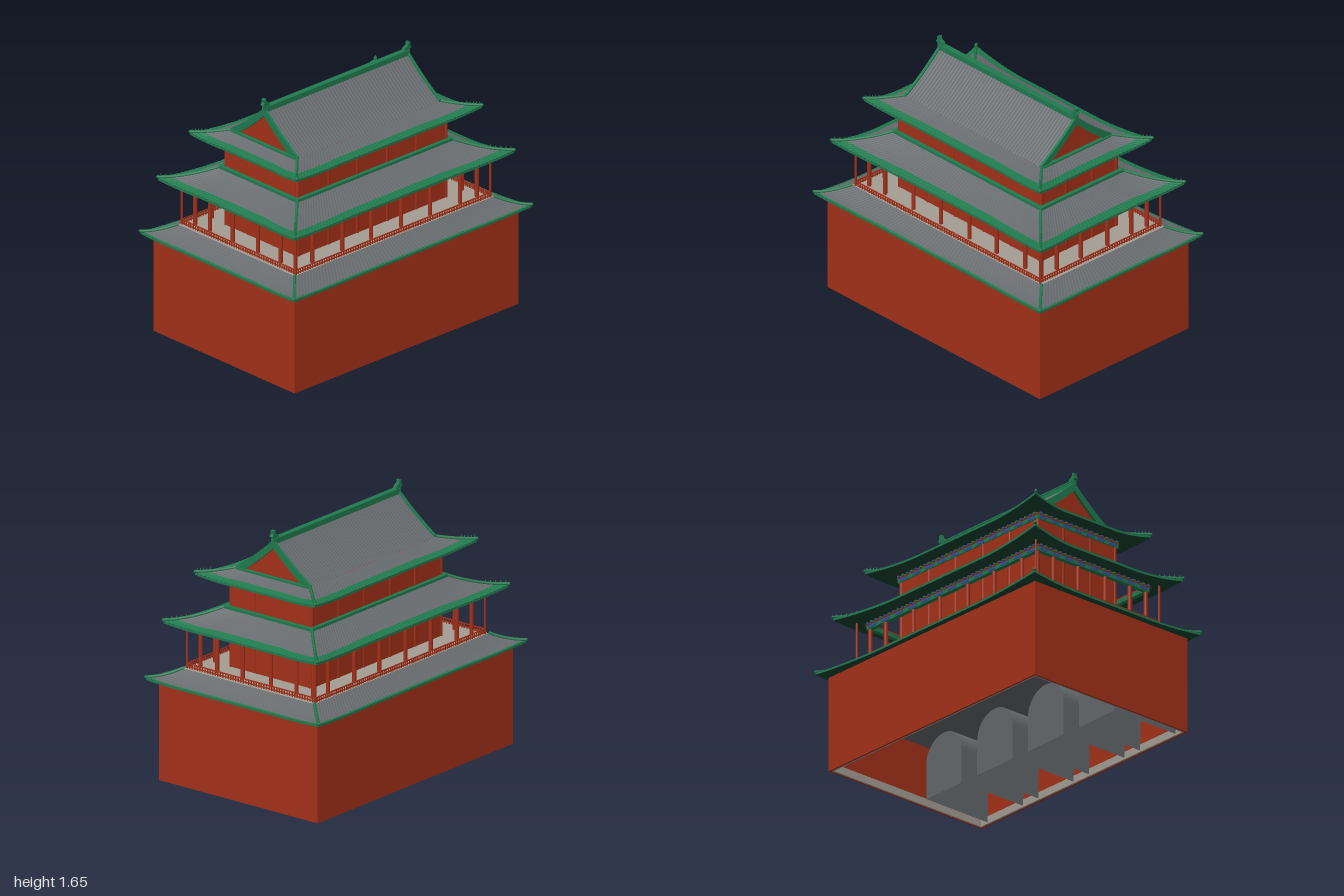
import * as THREE from 'three';

const mat = (name, color, side = THREE.FrontSide) => {
  const m = new THREE.MeshStandardMaterial({ color, side });
  m.name = name;
  return m;
};
const red = mat('red paint', 0xa33019);
const green = mat('glazed green', 0x1f7a4e);
const darkGreen = mat('dark green soffit', 0x15402f);
const grey = mat('grey tile', 0x676b6d);
const stone = mat('pale stone', 0xa49d93);
const blue = mat('blue paint', 0x34509c);
const masonry = mat('grey masonry', 0x63676a, THREE.DoubleSide);

const lerp = THREE.MathUtils.lerp;
const V = (x, y, z) => new THREE.Vector3(x, y, z);

function add(parent, name, geo, material, x = 0, y = 0, z = 0) {
  const m = new THREE.Mesh(geo, material);
  m.name = name;
  m.position.set(x, y, z);
  parent.add(m);
  return m;
}
// Box given by centre x, z and its bottom and top heights
const box = (p, name, material, w, d, y0, y1, x = 0, z = 0) =>
  add(p, name, new THREE.BoxGeometry(w, y1 - y0, d), material, x, (y0 + y1) / 2, z);

// Faceted surface from a rule fn(s, v, i), s in -1..1, v in v0..v1
function surface(p, name, material, fn, nu, nv, v0 = 0, v1 = 1, flip = false) {
  const pos = [], idx = [];
  for (let j = 0; j <= nv; j++)
    for (let i = 0; i <= nu; i++) pos.push(...fn(-1 + (2 * i) / nu, lerp(v0, v1, j / nv), i));
  for (let j = 0; j < nv; j++)
    for (let i = 0; i < nu; i++) {
      const a = j * (nu + 1) + i, b = a + 1, c = a + nu + 1, d = c + 1;
      if (flip) idx.push(a, c, b, b, c, d);
      else idx.push(a, b, c, b, d, c);
    }
  const g = new THREE.BufferGeometry();
  g.setAttribute('position', new THREE.Float32BufferAttribute(pos, 3));
  g.setIndex(idx);
  const flat = g.toNonIndexed();
  flat.computeVertexNormals();
  return add(p, name, flat, material);
}

// Four-sided skirt roof: eave (ex, ez, ey), corner tip (cx, cz, cy), top rectangle (tx, tz, ty),
// soffit meeting the building at (bx, bz, by)
function skirtRoof(p, name, r) {
  const g = new THREE.Group();
  g.name = name;
  p.add(g);
  for (let k = 0; k < 4; k++) {
    const long = k % 2 === 0;
    const side = new THREE.Group();
    side.name = long ? 'longSide' : 'shortSide';
    side.rotation.y = (k * Math.PI) / 2;
    g.add(side);
    const [cl, e, c, tl, t, bl, b] = long
      ? [r.cx, r.ez, r.cz, r.tx, r.tz, r.bx, r.bz]
      : [r.cz, r.ex, r.cx, r.tz, r.tx, r.bz, r.bx];
    const flare = (s) => Math.max(0, (Math.abs(s) - 0.45) / 0.55);
    const eave = (s) => {
      const f = flare(s);
      return [s * cl, lerp(r.ey, r.cy, f ** 2.2), lerp(e, c, f ** 1.3)];
    };
    const n = 2 * Math.round(cl / 0.014);
    // The slope sags more towards the corners
    const top = (s, v, i) => {
      const E = eave(s), y = lerp(E[1], r.ty, v ** lerp(1.2, 1.9, flare(s)));
      return [lerp(E[0], s * tl, v), y + (i % 2 ? 0.002 : 0), lerp(E[2], t, v)];
    };
    surface(side, 'eaveTiles', green, top, n, 2, 0, r.band);
    surface(side, 'roofTiles', grey, top, n, 5, r.band, 1);
    surface(side, 'eaveEdge', green, (s, v) => {
      const E = eave(s);
      return [E[0], E[1] - r.th * (1 - v), E[2]];
    }, 40, 1);
    surface(side, 'soffit', darkGreen, (s, v) => {
      const E = eave(s);
      return [lerp(E[0], s * bl, v), lerp(E[1] - r.th, r.by, v), lerp(E[2], b, v)];
    }, 40, 2, 0, 1, true);
    // Ridge along the hip, with small figures near its tip
    const hip = (v) => V(...top(1, v, 0));
    const pts = [0, 0.2, 0.4, 0.6, 0.8, 1].map((v) => hip(v).add(V(0, 0.006, 0)));
    add(side, 'hipRidge', new THREE.TubeGeometry(new THREE.CatmullRomCurve3(pts), 12, 0.01, 6), green);
    add(side, 'hipTip', new THREE.SphereGeometry(0.011, 6, 5), green, ...pts[0].toArray());
    for (let i = 0; i < 5 && r.figures; i++) {
      const q = hip(0.05 + i * 0.08);
      add(side, 'hipFigure', new THREE.ConeGeometry(0.006, 0.02, 5), green, q.x, q.y + 0.022, q.z);
    }
  }
}

// Painted beam ring with alternating panels, a red line and bracket blocks above it
function beamRing(p, name, hx, hz, y0, y1) {
  const g = new THREE.Group();
  g.name = name;
  p.add(g);
  for (let k = 0; k < 4; k++) {
    const side = new THREE.Group();
    side.name = 'beamSide';
    side.rotation.y = (k * Math.PI) / 2;
    g.add(side);
    const [l, d] = k % 2 ? [hz, hx] : [hx, hz];
    box(side, 'beam', green, 2 * l, 0.03, y0, y1, 0, d - 0.015);
    box(side, 'redLine', red, 2 * l, 0.03, y1, y1 + 0.012, 0, d - 0.01);
    const n = 2 * Math.round(l / 0.13) + 1, w = (2 * l) / n;
    for (let i = 0; i < n; i++)
      box(side, 'paintedPanel', blue, w * 0.6, 0.004, y0 + 0.006, y1 - 0.004, -l + w * (i + 0.5), d + 0.002);
    const m = Math.round((2 * l) / 0.04);
    for (let i = 0; i < m; i++)
      box(side, 'bracket', i % 2 ? green : blue, 0.016, 0.03, y1 + 0.002, y1 + 0.014, -l + (2 * l * (i + 0.5)) / m, d);
  }
}

function column(p, name, r, x, z, y0, y1) {
  add(p, name, new THREE.CylinderGeometry(r, r, y1 - y0, 10), red, x, (y0 + y1) / 2, z);
}

// Hollow base, open at the bottom, with four vaults running in from the front
function buildBase(root) {
  const g = new THREE.Group();
  g.name = 'base';
  root.add(g);
  for (const s of [-1, 1]) {
    box(g, 'baseLongWall', red, 1.866, 0.012, 0, 0.63, 0, s * 0.614);
    box(g, 'baseEndWall', red, 0.012, 1.22, 0, 0.63, s * 0.927, 0);
    box(g, 'footing', stone, 1.842, 0.012, 0.001, 0.05, 0, s * 0.602);
    box(g, 'footing', stone, 0.012, 1.2, 0.001, 0.05, s * 0.915, 0);
  }
  box(g, 'baseCeiling', masonry, 1.842, 1.216, 0.4, 0.42);
  const arch = new THREE.Shape();
  arch.moveTo(-0.16, 0.01).lineTo(-0.16, 0.24);
  arch.absarc(0, 0.24, 0.16, Math.PI, 0, true);
  arch.lineTo(0.16, 0.01);
  const line = arch.getPoints(10);
  for (const x of [-0.69, -0.23, 0.23, 0.69]) {
    surface(g, 'vault', masonry, (s, v, i) => [x + line[i].x, line[i].y, lerp(0.1, 0.6, v)], line.length - 1, 1);
    add(g, 'vaultEnd', new THREE.ShapeGeometry(arch, 10), masonry, x, 0, 0.1);
  }
}

function buildGallery(root) {
  const g = new THREE.Group();
  g.name = 'gallery';
  root.add(g);
  box(g, 'deck', stone, 1.66, 1.02, 0.6, 0.712);
  box(g, 'hallWalls', red, 1.25, 0.64, 0.712, 1.27);
  const xs = [-0.615, -0.365, -0.125, 0.125, 0.365, 0.615], zs = [-0.31, -0.11, 0.11, 0.31];
  for (const s of [-1, 1]) {
    for (const x of xs) {
      column(g, 'wallColumn', 0.014, x, s * 0.312, 0.712, 1.26);
      column(g, 'galleryColumn', 0.013, x, s * 0.44, 0.712, 0.94);
    }
    for (const z of zs) {
      column(g, 'wallColumn', 0.014, s * 0.616, z, 0.712, 1.26);
      column(g, 'galleryColumn', 0.013, s * 0.755, z, 0.712, 0.94);
    }
    for (const t of [-1, 1]) {
      column(g, 'cornerColumn', 0.013, s * 0.755, t * 0.44, 0.712, 0.94);
      column(g, 'cornerPost', 0.007, s * 0.81, t * 0.5, 0.712, 0.98);
    }
    // Railings
    for (const y of [0.722, 0.742]) {
      box(g, 'rail', red, 1.62, 0.007, y - 0.003, y + 0.003, 0, s * 0.5);
      box(g, 'rail', red, 0.007, 1.0, y - 0.003, y + 0.003, s * 0.81, 0);
    }
    for (let i = 0; i <= 81; i++) box(g, 'baluster', red, 0.006, 0.006, 0.712, 0.745, -0.81 + i * 0.02, s * 0.5);
    for (let i = 1; i < 50; i++) box(g, 'baluster', red, 0.006, 0.006, 0.712, 0.745, s * 0.81, -0.5 + i * 0.02);
  }
}

// Upper gabled part of the top roof
function buildGableRoof(root) {
  const g = new THREE.Group();
  g.name = 'gableRoof';
  root.add(g);
  const prof = (v) => [0.29 * (1 - v), 1.343 + 0.23 * (0.8 * v + 0.2 * v * v)];
  for (const s of [-1, 1]) {
    surface(g, 'mainSlope', grey, (u, v, i) => {
      const [z, y] = prof(v);
      return [s * u * 0.6, y + (i % 2 ? 0.003 : 0), s * z];
    }, 100, 6);
    // Red gable with green bargeboards and foot ridge
    const tri = new THREE.Shape();
    tri.moveTo(-0.285, 1.335).lineTo(0.285, 1.335);
    for (let i = 0; i <= 6; i++) { const [z, y] = prof(i / 6); tri.lineTo(z, y - 0.004); }
    for (let i = 5; i >= 0; i--) { const [z, y] = prof(i / 6); tri.lineTo(-z, y - 0.004); }
    const gable = add(g, 'gable', new THREE.ExtrudeGeometry(tri, { depth: 0.01, bevelEnabled: false }), red, s * 0.575);
    gable.rotation.y = (s * Math.PI) / 2;
    box(g, 'gableFootRidge', green, 0.024, 0.56, 1.33, 1.35, s * 0.6, 0);
    for (const t of [-1, 1]) {
      const barge = new THREE.Shape();
      for (let i = 0; i <= 6; i++) {
        const [z, y] = prof(i / 6);
        if (i) barge.lineTo(z, y + 0.014); else barge.moveTo(z, y + 0.014);
      }
      for (let i = 6; i >= 0; i--) { const [z, y] = prof(i / 6); barge.lineTo(z, Math.max(1.33, y - 0.04)); }
      const b = add(g, 'bargeboard', new THREE.ExtrudeGeometry(barge, { depth: 0.018, bevelEnabled: false }), green, s * 0.593 + t * 0.009);
      b.rotation.y = (-t * Math.PI) / 2;
    }
    // Curled ridge-end ornament
    const f = new THREE.Shape();
    f.moveTo(-0.03, 1.56).lineTo(0.016, 1.56).lineTo(0.016, 1.6).lineTo(0.03, 1.61).lineTo(0.018, 1.625).lineTo(0.02, 1.645);
    f.lineTo(0.004, 1.65).lineTo(-0.002, 1.625).lineTo(-0.024, 1.615).lineTo(-0.036, 1.59);
    const fin = add(g, 'ridgeEnd', new THREE.ExtrudeGeometry(f, { depth: 0.024, bevelEnabled: false }), green, s * 0.59, 0, s * -0.012);
    fin.rotation.y = s > 0 ? 0 : Math.PI;
  }
  box(g, 'mainRidge', green, 1.19, 0.03, 1.56, 1.592);
  box(g, 'mainRidgeCap', green, 1.19, 0.038, 1.588, 1.597);
}

export function createModel() {
  const root = new THREE.Group();
  root.name = 'gateTower';
  buildBase(root);
  buildGallery(root);
  skirtRoof(root, 'lowerRoof', { ex: 0.97, ez: 0.65, ey: 0.64, cx: 0.99, cz: 0.675, cy: 0.658, tx: 0.83, tz: 0.51, ty: 0.71,
    th: 0.013, band: 0.1, bx: 0.93, bz: 0.62, by: 0.622, figures: false });
  beamRing(root, 'galleryBeam', 0.775, 0.455, 0.937, 0.964);
  skirtRoof(root, 'middleRoof', { ex: 0.875, ez: 0.56, ey: 0.993, cx: 0.915, cz: 0.6, cy: 1.02, tx: 0.64, tz: 0.335, ty: 1.095,
    th: 0.015, band: 0.22, bx: 0.76, bz: 0.44, by: 0.974, figures: true });
  for (const s of [-1, 1]) {
    box(root, 'wallRidge', green, 1.31, 0.025, 1.085, 1.106, 0, s * 0.335);
    box(root, 'wallRidge', green, 0.025, 0.68, 1.085, 1.106, s * 0.642, 0);
  }
  beamRing(root, 'upperBeam', 0.633, 0.328, 1.238, 1.265);
  skirtRoof(root, 'upperSkirtRoof', { ex: 0.74, ez: 0.435, ey: 1.293, cx: 0.772, cz: 0.468, cy: 1.32, tx: 0.6, tz: 0.29, ty: 1.343,
    th: 0.014, band: 0.34, bx: 0.62, bz: 0.32, by: 1.276, figures: true });
  buildGableRoof(root);
  return root;
}
